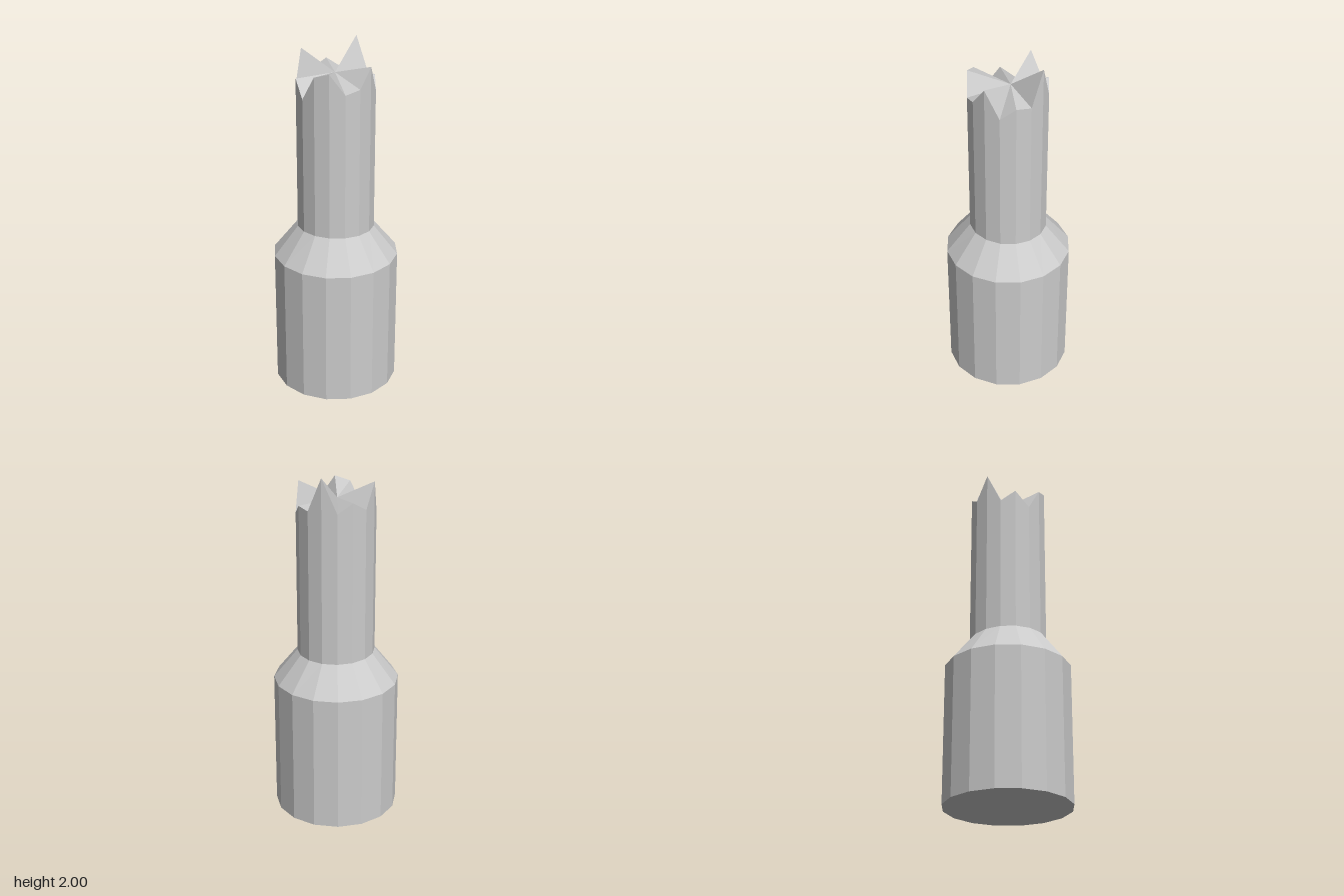
import * as THREE from 'three';

const SIDES = 16;
const BASE_R = 0.354, NECK_R = 0.218;
const SHOULDER_Y = 0.79, NECK_Y = 0.96;

// Jagged rim heights, starting at +x and turning towards +z
const RIM = [1.915, 1.81, 1.79, 1.905, 1.88, 1.74, 1.83, 1.765,
  1.95, 1.815, 1.865, 1.81, 2.0, 1.81, 1.82, 1.76];
const RIM_CENTRE = new THREE.Vector3(-0.01, 1.845, -0.01);

export function createModel() {
  const group = new THREE.Group();
  const material = new THREE.MeshStandardMaterial({ color: 0xcccccc, flatShading: true });

  // Faceted cylinder between two heights; move(v) reshapes its top vertices
  function addSection(name, rBottom, rTop, y0, y1, open, move) {
    const geo = new THREE.CylinderGeometry(rTop, rBottom, y1 - y0, SIDES, 1, open);
    geo.translate(0, (y0 + y1) / 2, 0);
    const pos = geo.attributes.position;
    const v = new THREE.Vector3();
    for (let i = 0; move && i < pos.count; i++) {
      v.fromBufferAttribute(pos, i);
      if (v.y < y1 - 1e-4) continue;
      move(v);
      pos.setXYZ(i, v.x, v.y, v.z);
    }
    geo.computeVertexNormals();
    const mesh = new THREE.Mesh(geo, material);
    mesh.name = name;
    group.add(mesh);
  }

  // Wide lower body
  addSection('base', BASE_R, BASE_R, 0, SHOULDER_Y, false);

  // Sloping shoulder, its upper edge a touch higher at the front
  addSection('shoulder', BASE_R, NECK_R, SHOULDER_Y, NECK_Y, true, (v) => {
    v.y += 0.03 * v.z;
  });

  // Narrow neck with a broken top: each rim vertex has its own height
  addSection('neck', NECK_R, NECK_R, NECK_Y - 0.02, 1.8, false, (v) => {
    if (Math.hypot(v.x, v.z) < 0.01) {
      v.copy(RIM_CENTRE);
    } else {
      const k = Math.round(Math.atan2(v.z, v.x) / (2 * Math.PI / SIDES));
      v.y = RIM[(k + SIDES) % SIDES];
    }
  });

  return group;
}
